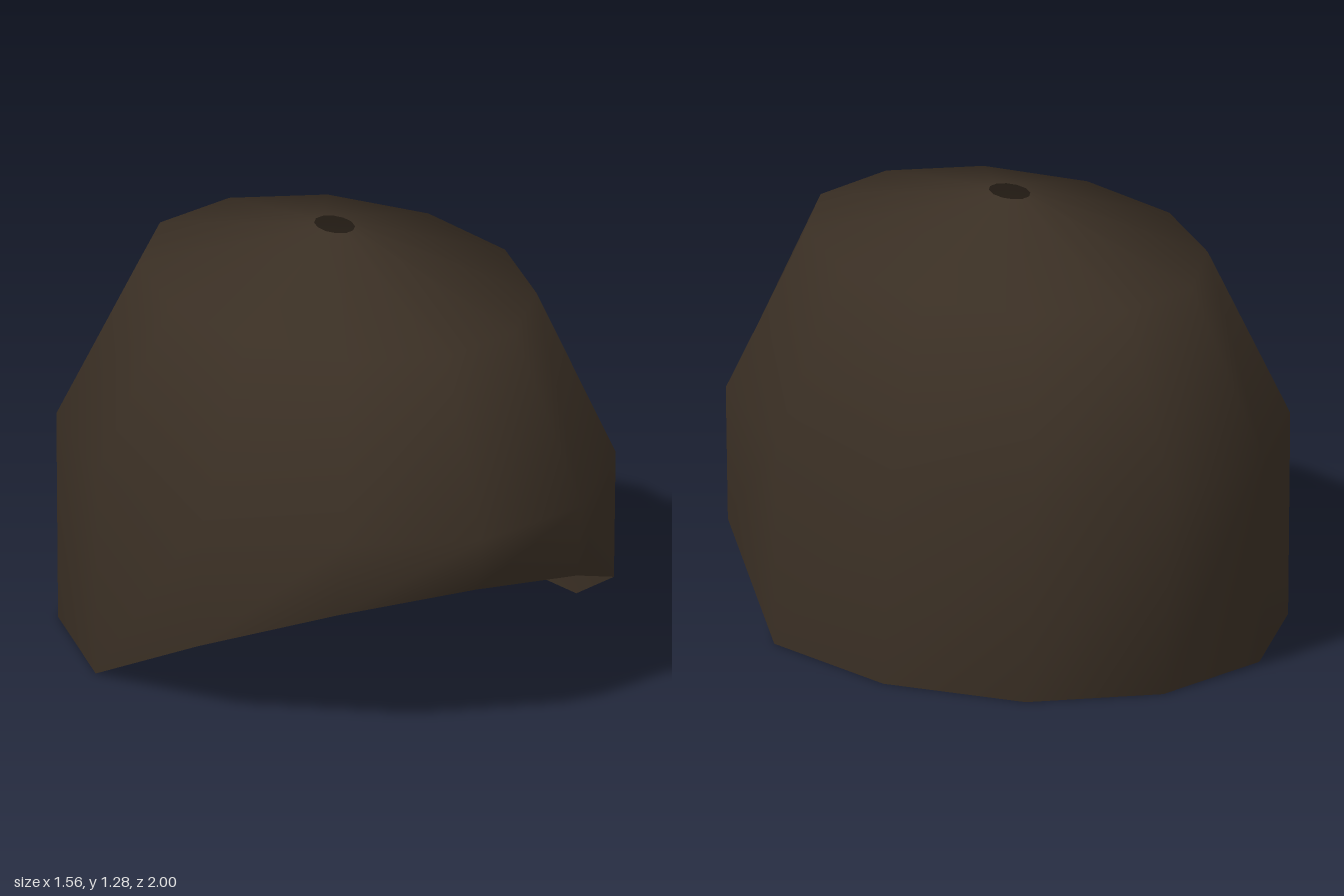
import * as THREE from 'three';
import { mergeVertices } from 'three/addons/utils/BufferGeometryUtils.js';

// Twelve-sided rings from crown to rim: height, half width, half depth, z offset
const SIDES = 12;
const RINGS = [
  { y: 1.28, rx: 0.055, rz: 0.08, z: -0.01 },
  { y: 1.12, rx: 0.545, rz: 0.74, z: 0.01 },
  { y: 0.63, rx: 0.776, rz: 1.0, z: 0 },
  { y: 0, rx: 0.782, rz: 0.955, z: 0 },
];
const FRONT_RISE = 0.46; // the rim climbs towards the front

export function createModel() {
  const darkBrown = new THREE.MeshStandardMaterial({ color: 0x3a2f24, side: THREE.DoubleSide });

  // Open tube whose rows are moved onto the rings
  const tube = new THREE.CylinderGeometry(1, 1, 1, SIDES, RINGS.length - 1, true);
  const pos = tube.attributes.position;
  for (let i = 0; i < pos.count; i++) {
    const row = Math.floor(i / (SIDES + 1));
    const ring = RINGS[row];
    const forward = pos.getZ(i);
    const lift = row === RINGS.length - 1 ? FRONT_RISE * Math.max(0, forward) : 0;
    pos.setXYZ(i, pos.getX(i) * ring.rx, ring.y + lift, forward * ring.rz + ring.z);
  }

  // Weld the seam so the shading is smooth all round
  tube.deleteAttribute('uv');
  tube.deleteAttribute('normal');
  const shell = mergeVertices(tube, 1e-4);
  shell.computeVertexNormals();

  const mesh = new THREE.Mesh(shell, darkBrown);
  mesh.name = 'capShell';
  const group = new THREE.Group();
  group.name = 'cap';
  group.add(mesh);
  return group;
}
